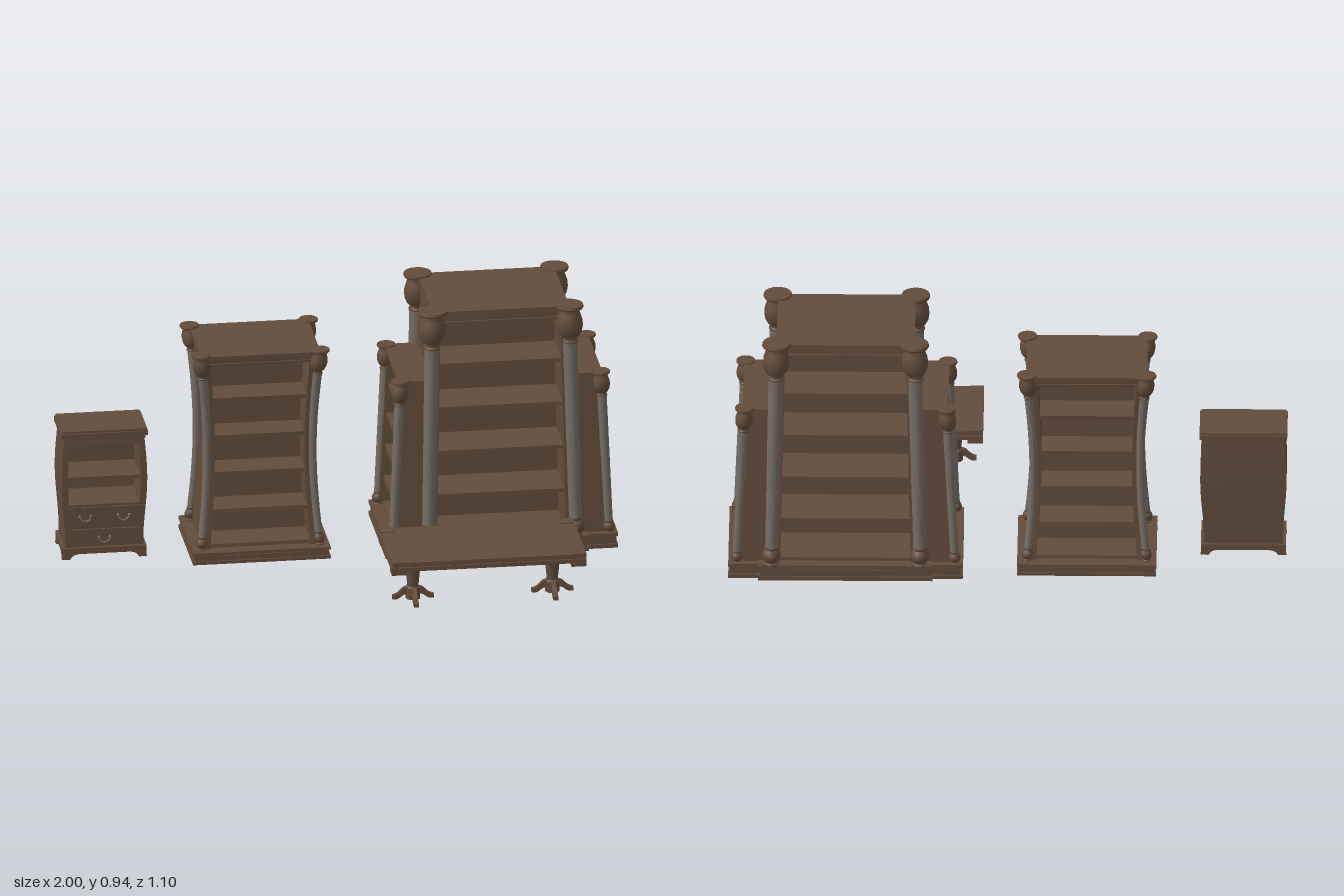
import * as THREE from 'three';
import { toCreasedNormals } from 'three/addons/utils/BufferGeometryUtils.js';

const wood = new THREE.MeshStandardMaterial({ color: 0x624c3b });
wood.name = 'brown wood';
const stone = new THREE.MeshStandardMaterial({ color: 0x766d63 });
stone.name = 'grey shaft';

const same = () => [1, 1];

// Scale x and z by a rule of height, so walls and columns lean or bow together
function bend(geo, warp) {
  const p = geo.attributes.position;
  for (let i = 0; i < p.count; i++) {
    const [kx, kz] = warp(p.getY(i));
    p.setX(i, p.getX(i) * kx);
    p.setZ(i, p.getZ(i) * kz);
  }
  return geo;
}

function add(parent, name, geo, mat = wood, warp = same) {
  const mesh = new THREE.Mesh(toCreasedNormals(bend(geo, warp), 0.6), mat);
  mesh.name = name;
  parent.add(mesh);
  return mesh;
}

function box(parent, name, [x0, x1], [y0, y1], [z0, z1], warp = same) {
  const segs = Math.max(1, Math.round((y1 - y0) / 0.04));
  const geo = new THREE.BoxGeometry(x1 - x0, y1 - y0, z1 - z0, 1, segs, 1);
  geo.translate((x0 + x1) / 2, (y0 + y1) / 2, (z0 + z1) / 2);
  return add(parent, name, geo, wood, warp);
}

// Centred slab given by half sizes
const slab = (parent, name, hx, y0, y1, hz, warp) =>
  box(parent, name, [-hx, hx], [y0, y1], [-hz, hz], warp);

function group(parent, name, x, z) {
  const g = new THREE.Group();
  g.name = name;
  g.position.set(x, 0, z);
  parent.add(g);
  return g;
}

// Turned column: bulb foot, grey shaft, urn capital with a round cap
function column(parent, x, z, y0, y1, s, warp) {
  const lathe = (name, pts, mat) => {
    const geo = new THREE.LatheGeometry(pts.map(([r, y]) => new THREE.Vector2(r, y)), 18);
    add(parent, name, geo.translate(x, 0, z), mat, warp);
  };
  const f = y0 + 0.07 * s, c = y1 - 0.145 * s;
  const up = (base, list) => list.map(([r, y]) => [r * s, base + y * s]);
  lathe('columnFoot', up(y0, [[0, 0], [0.024, 0], [0.024, 0.008], [0.019, 0.012], [0.028, 0.024],
    [0.031, 0.038], [0.028, 0.052], [0.02, 0.062], [0.023, 0.066], [0.023, 0.072], [0, 0.072]]), wood);
  const shaft = [];
  for (let i = 0; i <= 14; i++) shaft.push([(0.021 + 0.005 * i / 14) * s, f + (c - f) * i / 14]);
  lathe('columnShaft', shaft, stone);
  lathe('columnCapital', up(c, [[0, 0], [0.029, 0], [0.029, 0.006], [0.025, 0.01], [0.025, 0.02],
    [0.034, 0.025], [0.043, 0.042], [0.047, 0.065], [0.046, 0.085], [0.04, 0.106], [0.036, 0.118],
    [0.036, 0.124], [0.049, 0.129], [0.052, 0.135], [0.05, 0.143], [0, 0.145]]), wood);
}

function fourColumns(parent, x, z, y0, y1, s, warp) {
  for (const sx of [-1, 1]) for (const sz of [-1, 1]) column(parent, sx * x, sz * z, y0, y1, s, warp);
}

// Stepped plinth with thin raised panels
function plinth(parent, hx, hz, h) {
  slab(parent, 'plinthFoot', hx, 0, h * 0.25, hz);
  slab(parent, 'plinth', hx - 0.006, h * 0.25, h * 0.8, hz - 0.006);
  slab(parent, 'plinthRim', hx, h * 0.8, h, hz);
  slab(parent, 'plinthPanelFront', hx * 0.6, h * 0.35, h * 0.7, hz - 0.002);
  slab(parent, 'plinthPanelSide', hx - 0.002, h * 0.35, h * 0.7, hz * 0.6);
}

// Case open to front and back with a middle panel
function openCase(parent, hx, hz, y0, y1, t, shelves, warp) {
  for (const s of [-1, 1]) {
    const a = s * hx, b = s * (hx - t);
    box(parent, 'sideWall', [Math.min(a, b), Math.max(a, b)], [y0, y1], [-hz, hz], warp);
  }
  slab(parent, 'middlePanel', hx - t, y0, y1, 0.008, warp);
  for (const y of shelves) slab(parent, 'shelf', hx - t, y - 0.007, y + 0.007, hz - 0.012, warp);
}

function cornice(parent, hx, hz, y0, y1, warp) {
  const h = y1 - y0;
  slab(parent, 'frieze', hx - 0.008, y0, y0 + h * 0.7, hz - 0.008, warp);
  slab(parent, 'friezeBead', hx - 0.002, y0, y0 + h * 0.2, hz - 0.002, warp);
  slab(parent, 'topBoard', hx + 0.004, y0 + h * 0.7, y1, hz + 0.004, warp);
}

function largeBookcase(root) {
  const g = group(root, 'largeBookcase', 0.58, -0.3);
  // Tall centre
  const lean = y => [1 + 0.08 * (0.93 - y) / 0.88, 1 + 0.16 * (0.93 - y) / 0.88];
  const centre = group(g, 'centreSection', 0, 0);
  plinth(centre, 0.312, 0.243, 0.06);
  openCase(centre, 0.242, 0.186, 0.05, 0.9, 0.026, [0.065, 0.22, 0.385, 0.55, 0.715], lean);
  cornice(centre, 0.243, 0.194, 0.875, 0.927, lean);
  fourColumns(centre, 0.247, 0.192, 0.055, 0.935, 1, y => y > 0.05 ? lean(y) : [1.08, 1.16]);
  // Low wings with shelves facing outwards
  const leanLow = y => [1 + 0.08 * (0.665 - y) / 0.61, 1 + 0.08 * (0.665 - y) / 0.61];
  const wings = group(g, 'wings', 0, 0);
  plinth(wings, 0.42, 0.225, 0.056);
  for (const s of [-1, 1]) {
    const span = (a, b) => s > 0 ? [a, b] : [-b, -a];
    for (const z of [-0.185, 0.165])
      box(wings, 'wingPanel', span(0.225, 0.36), [0.05, 0.65], [z, z + 0.02], leanLow);
    for (const y of [0.06, 0.16, 0.28, 0.4, 0.515])
      box(wings, 'wingShelf', span(0.225, 0.35), [y - 0.007, y + 0.007], [-0.168, 0.168], leanLow);
    box(wings, 'wingFrieze', span(0.225, 0.358), [0.632, 0.655], [-0.182, 0.182], leanLow);
    box(wings, 'wingTop', span(0.225, 0.368), [0.652, 0.664], [-0.192, 0.192], leanLow);
  }
  fourColumns(wings, 0.362, 0.184, 0.05, 0.67, 0.66, leanLow);
}

function mediumBookcase(root) {
  const g = group(root, 'mediumBookcase', -0.283, -0.302);
  const waist = y => {
    const b = Math.sin(Math.PI * Math.min(1, Math.max(0, (y - 0.04) / 0.74)));
    return [1 - 0.11 * b, 1 - 0.14 * b];
  };
  plinth(g, 0.249, 0.193, 0.044);
  openCase(g, 0.208, 0.155, 0.035, 0.77, 0.026, [0.05, 0.18, 0.32, 0.46, 0.605], waist);
  cornice(g, 0.212, 0.162, 0.745, 0.785, waist);
  fourColumns(g, 0.215, 0.152, 0.042, 0.793, 0.68, waist);
}

function smallCabinet(root) {
  const g = group(root, 'smallCabinet', -0.843, -0.269);
  const wave = y => {
    const k = 1 + 0.045 * Math.sin((y - 0.2) * Math.PI * 2 / 0.48);
    return [k, k];
  };
  for (const s of [-1, 1]) {
    box(g, 'side', s > 0 ? [0.126, 0.148] : [-0.148, -0.126], [0.05, 0.48], [-0.09, 0.088], wave);
  }
  box(g, 'back', [-0.128, 0.128], [0.05, 0.48], [-0.09, -0.078], wave);
  box(g, 'drawerBody', [-0.128, 0.128], [0.05, 0.225], [-0.08, 0.085], wave);
  box(g, 'shelf', [-0.128, 0.128], [0.314, 0.326], [-0.08, 0.07], wave);
  box(g, 'header', [-0.128, 0.128], [0.45, 0.48], [-0.08, 0.086], wave);
  // Drawer fronts with bail pulls
  for (const [x0, x1, y0, y1] of [[-0.13, -0.008, 0.142, 0.216], [0.008, 0.13, 0.142, 0.216],
    [-0.13, 0.13, 0.065, 0.13]]) {
    box(g, 'drawerFront', [x0, x1], [y0, y1], [0.082, 0.092], wave);
    const x = (x0 + x1) / 2, y = (y0 + y1) / 2 + 0.004;
    const pull = new THREE.TorusGeometry(0.02, 0.003, 6, 14, Math.PI);
    add(g, 'drawerPull', pull.rotateZ(Math.PI).translate(x, y, 0.093), stone);
    for (const s of [-1, 1])
      add(g, 'pullMount', new THREE.SphereGeometry(0.005, 8, 6).translate(x + s * 0.02, y, 0.092), stone);
  }
  // Top and base mouldings
  slab(g, 'topNeck', 0.148, 0.474, 0.486, 0.092);
  slab(g, 'topBoard', 0.157, 0.486, 0.502, 0.099);
  slab(g, 'topCap', 0.152, 0.502, 0.51, 0.094);
  slab(g, 'baseMoulding', 0.152, 0.05, 0.062, 0.095);
  // Scrolled aprons with bracket feet
  const apron = w => {
    const s = new THREE.Shape();
    s.moveTo(-w, 0.052);
    s.quadraticCurveTo(-w + 0.008, 0.035, -w - 0.002, 0.02);
    s.lineTo(-w + 0.028, 0.02);
    s.quadraticCurveTo(-w + 0.035, 0.04, -w + 0.065, 0.04);
    s.lineTo(w - 0.065, 0.04);
    s.quadraticCurveTo(w - 0.035, 0.04, w - 0.028, 0.02);
    s.lineTo(w + 0.002, 0.02);
    s.quadraticCurveTo(w - 0.008, 0.035, w, 0.052);
    return new THREE.ExtrudeGeometry(s, { depth: 0.016, bevelEnabled: false, curveSegments: 6 });
  };
  add(g, 'frontApron', apron(0.152).translate(0, 0, 0.079));
  add(g, 'backApron', apron(0.152).translate(0, 0, -0.095));
  add(g, 'leftApron', apron(0.093).rotateY(Math.PI / 2).translate(0.136, 0, 0));
  add(g, 'rightApron', apron(0.093).rotateY(Math.PI / 2).translate(-0.152, 0, 0));
}

function table(root) {
  const g = group(root, 'table', 0.448, 0.366);
  slab(g, 'topBoard', 0.352, 0.21, 0.223, 0.176);
  slab(g, 'topGroove', 0.346, 0.204, 0.21, 0.17);
  slab(g, 'topMoulding', 0.352, 0.19, 0.204, 0.176);
  slab(g, 'apron', 0.335, 0.183, 0.19, 0.16);
  for (const sx of [-1, 1]) for (const sz of [-1, 1]) {
    const corner = new THREE.BoxGeometry(0.055, 0.014, 0.05);
    add(g, 'cornerBlock', corner.translate(sx * 0.3245, 0.183, sz * 0.151));
    const cap = new THREE.BoxGeometry(0.05, 0.004, 0.045);
    add(g, 'cornerCap', cap.translate(sx * 0.327, 0.224, sz * 0.1535));
  }
  // Turned pedestals on four scrolled legs
  const leg = new THREE.Shape();
  leg.moveTo(0.01, 0.062);
  leg.bezierCurveTo(0.06, 0.075, 0.055, 0.036, 0.1, 0.034);
  leg.lineTo(0.1, 0.02);
  leg.lineTo(0.078, 0.02);
  leg.bezierCurveTo(0.045, 0.03, 0.055, 0.045, 0.01, 0.032);
  const profile = [[0, 0.02], [0.026, 0.02], [0.026, 0.062], [0.02, 0.068], [0.023, 0.1], [0.027, 0.14],
    [0.029, 0.155], [0.025, 0.16], [0.028, 0.168], [0.05, 0.173], [0.064, 0.184], [0, 0.184]];
  for (const s of [-1, 1]) {
    const p = group(g, 'pedestal', s * 0.252, 0);
    add(p, 'pedestalPost', new THREE.LatheGeometry(profile.map(q => new THREE.Vector2(...q)), 18));
    for (let i = 0; i < 4; i++) {
      const geo = new THREE.ExtrudeGeometry(leg, { depth: 0.018, bevelEnabled: false, curveSegments: 8 });
      geo.translate(0, 0, -0.009).scale(i % 2 ? 1 : 0.75, 1, 1).rotateY(i * Math.PI / 2);
      add(p, 'leg', geo);
    }
  }
}

export function createModel() {
  const root = new THREE.Group();
  root.name = 'furnitureSet';
  smallCabinet(root);
  mediumBookcase(root);
  largeBookcase(root);
  table(root);
  return root;
}
